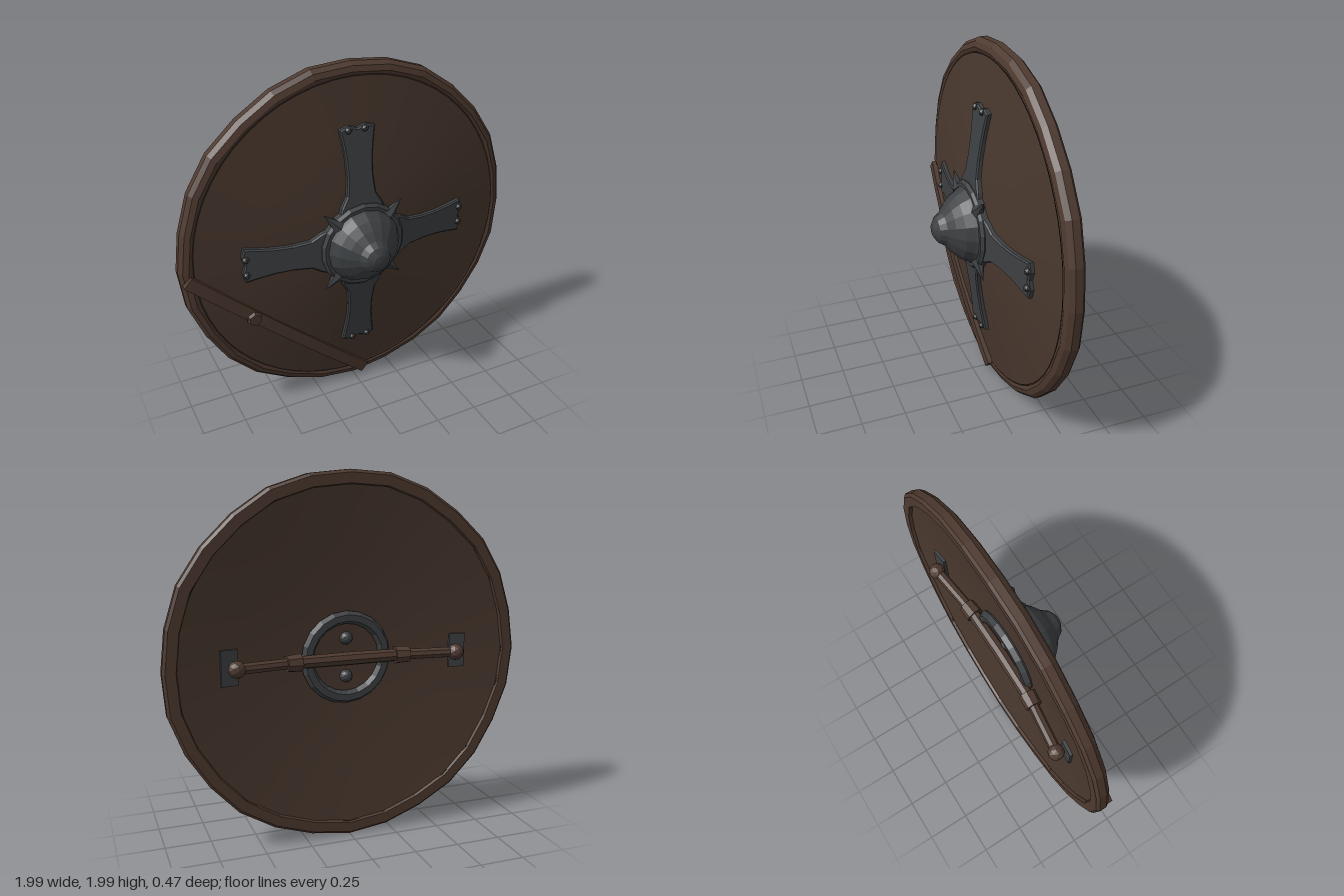
import * as THREE from 'three';

export function createModel() {
  const shield = new THREE.Group();
  shield.name = 'roundShield';
  const paint = (name, color, flatShading = true) => {
    const m = new THREE.MeshStandardMaterial({ color, flatShading });
    m.name = name;
    return m;
  };
  const wood = paint('wood', 0x49382e, false);
  const leather = paint('leather', 0x4e3a30);
  const iron = paint('iron', 0x3d4042);
  const seam = paint('darkSeam', 0x231a16);

  const add = (name, geometry, material, x = 0, y = 0, z = 0) => {
    const mesh = new THREE.Mesh(geometry, material);
    mesh.name = name;
    mesh.position.set(x, y, z);
    shield.add(mesh);
    return mesh;
  };
  // Profile of [radius, z] pairs turned around the z axis
  const turned = (profile, sides) =>
    new THREE.LatheGeometry(profile.map(([r, z]) => new THREE.Vector2(r, z)), sides).rotateX(Math.PI / 2);
  // Slope of the front of the board
  const frontZ = (r) => 0.027 - 0.137 * r;

  // Shallow conical board, front and back
  add('boardFront', turned([[0.95, frontZ(0.95)], [0.6, frontZ(0.6)], [0.2, frontZ(0.2)], [0, 0]], 56), wood);
  add('boardBack', turned([[0, -0.09], [0.25, -0.095], [0.6, -0.125], [0.95, -0.165]], 56), wood);

  // Chunky leather rim, slightly uneven like wrapped hide
  const rimGeometry = turned([[0.93, -0.18], [0.985, -0.18], [1, -0.165], [1, -0.125], [0.98, -0.1],
    [0.95, -0.09], [0.925, -0.1], [0.925, -0.165], [0.93, -0.18]], 28);
  const p = rimGeometry.attributes.position;
  for (let i = 0; i < p.count; i++) {
    const a = Math.atan2(p.getY(i), p.getX(i));
    const k = 1 - 0.005 * (1 + Math.sin(a * 9 + 0.6));
    p.setXY(i, p.getX(i) * k, p.getY(i) * k);
  }
  rimGeometry.computeVertexNormals();
  add('rim', rimGeometry, leather);

  // Dark joint between rim and board
  add('rimSeamFront', new THREE.RingGeometry(0.917, 0.927, 56), seam, 0, 0, -0.094);
  add('rimSeamBack', new THREE.RingGeometry(0.921, 0.929, 56).rotateX(Math.PI), seam, 0, 0, -0.168);

  // Four flared iron arms sloping with the board
  const half = [[0.14, 0.18], [0.12, 0.24], [0.085, 0.3], [0.075, 0.4], [0.078, 0.5], [0.088, 0.58], [0.102, 0.66]];
  const outline = [...half, [0.05, 0.675], [0, 0.66]];
  const mirrored = outline.slice(0, -1).reverse().map(([x, y]) => [-x, y]);
  const armShape = new THREE.Shape([...outline, ...mirrored].map(([x, y]) => new THREE.Vector2(x, y)));
  const armGeometry = new THREE.ExtrudeGeometry(armShape, {
    depth: 0.03, bevelEnabled: true, bevelThickness: 0.008, bevelSize: 0.008, bevelOffset: -0.008, bevelSegments: 1
  });
  const ap = armGeometry.attributes.position;
  for (let i = 0; i < ap.count; i++) ap.setZ(i, ap.getZ(i) + frontZ(ap.getY(i)) - 0.012);
  armGeometry.computeVertexNormals();
  for (let i = 0; i < 4; i++) {
    const angle = i * Math.PI / 2;
    add('crossArm', armGeometry, iron).rotation.z = angle;
    for (const s of [-0.055, 0.04]) {
      const x = s * Math.cos(angle) - 0.655 * Math.sin(angle);
      const y = s * Math.sin(angle) + 0.655 * Math.cos(angle);
      add('armRivet', new THREE.IcosahedronGeometry(0.022, 0), iron, x, y, -0.038);
    }
  }

  // Central boss with collar
  add('bossCollar', turned([[0.25, -0.03], [0.25, 0.025], [0.235, 0.042], [0.19, 0.042]], 18), iron);
  add('bossDome', turned([[0.225, 0.03], [0.205, 0.055], [0.18, 0.1], [0.14, 0.14], [0.095, 0.175],
    [0.072, 0.21], [0.035, 0.232], [0, 0.236]], 16), iron);

  // Diagonal spikes around the collar
  for (let i = 0; i < 4; i++) {
    const a = Math.PI / 4 + i * Math.PI / 2;
    const spike = add('bossSpike', new THREE.ConeGeometry(0.038, 0.12, 6), iron,
      0.27 * Math.cos(a), 0.27 * Math.sin(a), 0.025);
    spike.rotation.z = a - Math.PI / 2;
  }

  // Diagonal strap on the front, bowed over the board, with its stud
  const strapGeometry = new THREE.BoxGeometry(1.37, 0.068, 0.04, 8, 1, 1);
  const sp = strapGeometry.attributes.position;
  for (let i = 0; i < sp.count; i++) {
    const t = sp.getX(i) / 0.685;
    sp.setZ(i, sp.getZ(i) - 0.062 - 0.028 * t * t);
  }
  strapGeometry.computeVertexNormals();
  const strapAngle = Math.atan2(-0.89, 1.0);
  add('strap', strapGeometry, leather, -0.45, -0.495).rotation.z = strapAngle;
  add('strapStud', new THREE.CylinderGeometry(0.036, 0.045, 0.03, 6).rotateX(Math.PI / 2), leather, -0.63, -0.345, -0.04);

  // Iron ring and rivets on the back
  add('backRing', new THREE.TorusGeometry(0.22, 0.035, 6, 20), iron, 0, 0, -0.105);
  for (const s of [-1, 1]) {
    add('backRivet', new THREE.IcosahedronGeometry(0.036, 1), iron, 0, s * 0.105, -0.1);
  }

  // Handle bar: thick grip, outer rods, sleeves, end knobs and mounting plates
  const rod = (name, a, b, r0, r1) => {
    const from = new THREE.Vector3(...a), to = new THREE.Vector3(...b);
    const dir = to.clone().sub(from);
    const mesh = add(name, new THREE.CylinderGeometry(r1, r0, dir.length(), 8), leather);
    mesh.position.copy(from).add(to).multiplyScalar(0.5);
    mesh.quaternion.setFromUnitVectors(new THREE.Vector3(0, 1, 0), dir.normalize());
  };
  for (const s of [-1, 1]) {
    rod('handleGrip', [0, 0, -0.14], [s * 0.3, 0, -0.145], 0.037, 0.034);
    rod('handleSleeve', [s * 0.27, 0, -0.142], [s * 0.35, 0, -0.15], 0.05, 0.045);
    rod('handleRod', [s * 0.33, 0, -0.147], [s * 0.61, 0, -0.182], 0.03, 0.03);
    add('handleKnob', new THREE.IcosahedronGeometry(0.047, 1), leather, s * 0.62, 0, -0.186);
    add('handlePlate', new THREE.BoxGeometry(0.09, 0.19, 0.03), iron, s * 0.65, 0, -0.133).rotation.y = s * 0.11;
  }

  // Stand the shield on the ground
  for (const part of shield.children) part.position.y += 1;
  return shield;
}
